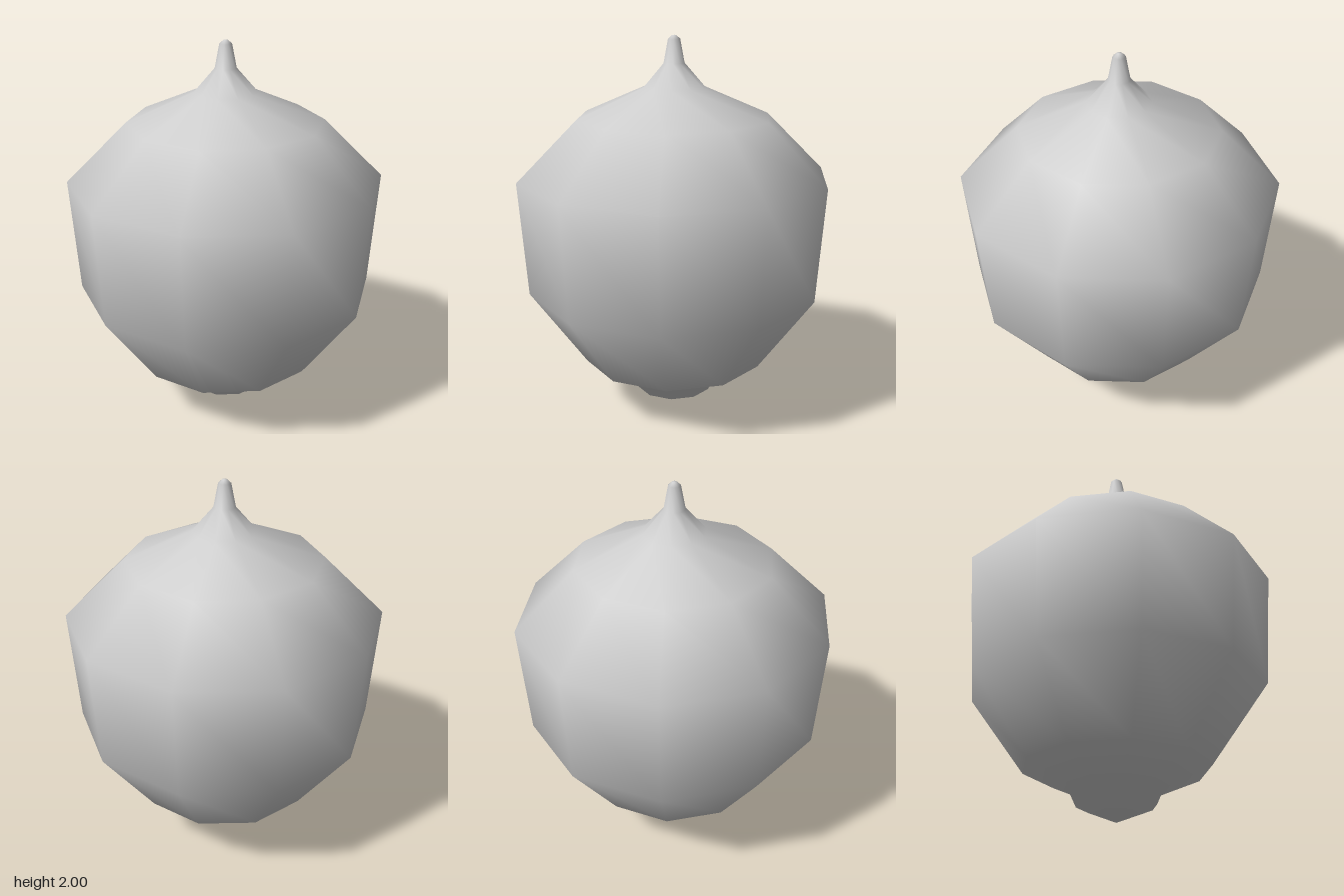
import * as THREE from 'three';

export function createModel() {
  const model = new THREE.Group();
  model.name = 'bulb';

  // Profile from the base point, over the base nub and round body, to the stem tip
  const profile = [
    [0, 0], [0.203, 0.085], [0.237, 0.16], [0.482, 0.27],
    [0.777, 0.68], [0.82, 1.277], [0.507, 1.587], [0.162, 1.738],
    [0.055, 1.86], [0.032, 1.98], [0.012, 1.998], [0, 2],
  ].map(([r, y]) => new THREE.Vector2(r, y));

  // Ten smooth-shaded sides, with a corner on the +x and -x axes
  const body = new THREE.Mesh(
    new THREE.LatheGeometry(profile, 10, Math.PI / 2),
    new THREE.MeshStandardMaterial({ color: 0xcccccc })
  );
  body.name = 'bodyWithStem';
  model.add(body);

  return model;
}
